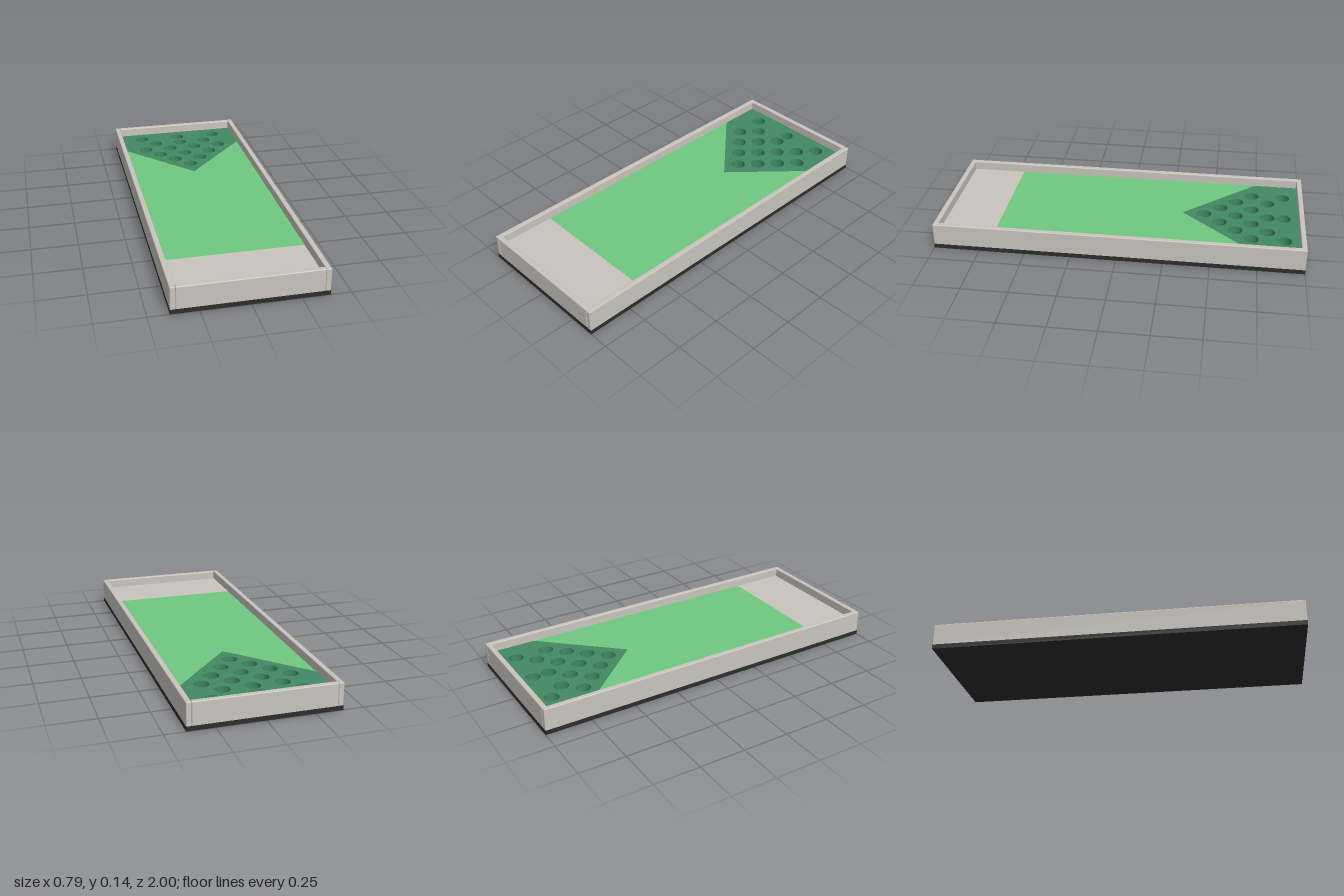
import * as THREE from 'three';
import { toCreasedNormals } from 'three/addons/utils/BufferGeometryUtils.js';
import { RoundedBoxGeometry } from 'three/addons/geometries/RoundedBoxGeometry.js';

const HALF_W = 0.3925, HALF_L = 1, WALL = 0.028;
const BASE_TOP = 0.025, DECK_TOP = 0.096, WALL_TOP = 0.145;
const INNER_X = HALF_W - WALL, INNER_Z = HALF_L - WALL;
const PITCH = 0.156, ROW = 0.088, HOLE_R = 0.04;

function material(name, color) {
  const m = new THREE.MeshStandardMaterial({ color });
  m.name = name;
  return m;
}

export function createModel() {
  const group = new THREE.Group();
  const frameMat = material('warm grey', 0xc9c5bd);
  const baseMat = material('charcoal', 0x2d2d2d);
  const turfMat = material('light green', 0x6fc880);
  const targetMat = material('dark green', 0x418a62);

  const add = (name, geometry, mat, x = 0, y = 0, z = 0) => {
    const mesh = new THREE.Mesh(geometry, mat);
    mesh.name = name;
    mesh.position.set(x, y, z);
    group.add(mesh);
  };

  // Deck slab from [x, z] plan points, with optional round holes
  const deck = (name, plan, mat, holes = []) => {
    const shape = new THREE.Shape(plan.map(([x, z]) => new THREE.Vector2(x, -z)));
    for (const [x, z] of holes) {
      shape.holes.push(new THREE.Path().absarc(x, -z, HOLE_R, 0, Math.PI * 2, true));
    }
    const geometry = new THREE.ExtrudeGeometry(shape, {
      depth: DECK_TOP - BASE_TOP, bevelEnabled: false, curveSegments: 12,
    });
    geometry.rotateX(-Math.PI / 2);
    add(name, toCreasedNormals(geometry, 0.6), mat, 0, BASE_TOP, 0);
  };

  // Base plate, also the floor of the holes
  add('basePlate', new THREE.BoxGeometry(HALF_W * 2, BASE_TOP, HALF_L * 2), baseMat, 0, BASE_TOP / 2, 0);

  // Frame walls; their rounded bottom edges sink into the base
  const r = 0.005, wallH = WALL_TOP - BASE_TOP + r, wallY = WALL_TOP - wallH / 2;
  for (const s of [-1, 1]) {
    add(s > 0 ? 'leftWall' : 'rightWall',
      new RoundedBoxGeometry(WALL, wallH, HALF_L * 2, 2, r), frameMat, s * (HALF_W - WALL / 2), wallY, 0);
    add(s > 0 ? 'frontWall' : 'backWall',
      new RoundedBoxGeometry(INNER_X * 2, wallH, WALL, 2, r), frameMat, 0, wallY, s * (HALF_L - WALL / 2));
  }

  // Throwing platform, turf lane and pointed target area
  const platformZ = 0.67, shoulderZ = -0.73, tipZ = -0.33;
  deck('platform', [[-INNER_X, INNER_Z], [INNER_X, INNER_Z], [INNER_X, platformZ], [-INNER_X, platformZ]], frameMat);
  deck('turfLane', [[-INNER_X, platformZ], [INNER_X, platformZ], [INNER_X, shoulderZ],
    [0, tipZ], [-INNER_X, shoulderZ]], turfMat);

  // Hole rows from the tip to the back, in units of the pitch
  const rows = [[0], [-0.5, 0.5], [-1, 0, 1], [-1.5, -0.5, 0.5, 1.5], [-1, 0, 1], [-1.5, 0, 1.5]];
  const holes = rows.flatMap((row, i) => row.map((u) => [u * PITCH, -0.45 - i * ROW]));
  deck('targetArea', [[0, tipZ], [INNER_X, shoulderZ], [INNER_X, -INNER_Z],
    [-INNER_X, -INNER_Z], [-INNER_X, shoulderZ]], targetMat, holes);

  return group;
}
